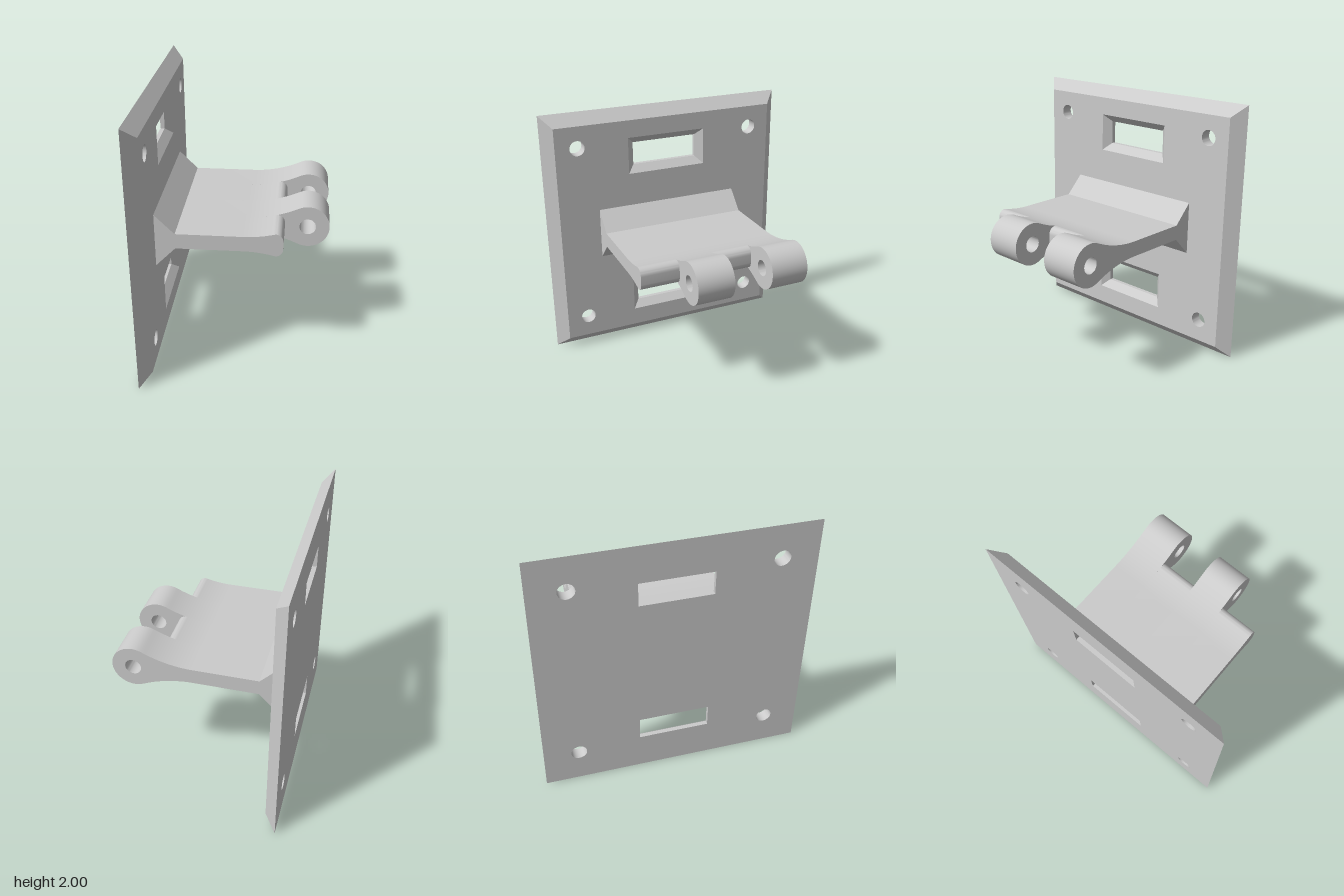
import * as THREE from 'three';
import { mergeGeometries, toCreasedNormals } from 'three/addons/utils/BufferGeometryUtils.js';

const material = new THREE.MeshStandardMaterial({ color: 0xcccccc });
const MID = 1.003; // height of the arm's centre line

// Counter-clockwise outlines
const rect = (cx, cy, w, h) => [[-w, -h], [w, -h], [w, h], [-w, h]]
  .map(([x, y]) => new THREE.Vector2(cx + x, cy + y));
const circle = (cx, cy, r, n = 40) => Array.from({ length: n }, (_, i) => {
  const a = (i / n) * Math.PI * 2;
  return new THREE.Vector2(cx + r * Math.cos(a), cy + r * Math.sin(a));
});

// Wall between two matching outlines at depths za and zb
function wall(a, za, b, zb, inward = false) {
  const pos = [];
  for (let i = 0; i < a.length; i++) {
    const j = (i + 1) % a.length;
    const p = [a[i].x, a[i].y, za], q = [a[j].x, a[j].y, za];
    const r = [b[j].x, b[j].y, zb], s = [b[i].x, b[i].y, zb];
    if (inward) pos.push(...p, ...r, ...q, ...p, ...s, ...r);
    else pos.push(...p, ...q, ...r, ...p, ...r, ...s);
  }
  const g = new THREE.BufferGeometry();
  g.setAttribute('position', new THREE.Float32BufferAttribute(pos, 3));
  return g;
}

// Flat face with openings
function face(outline, openings) {
  const shape = new THREE.Shape(outline);
  shape.holes = openings.map((o) => new THREE.Path(o));
  const g = new THREE.ShapeGeometry(shape).toNonIndexed();
  g.deleteAttribute('uv');
  g.deleteAttribute('normal');
  return g;
}

// Bevelled square plate with four screw holes and two flared windows
function plateGeometry() {
  const T = 0.09, straight = 0.033;
  const back = rect(0, 1, 1, 1), front = rect(0, 1, 0.91, 0.91);
  const screws = [];
  for (const x of [-0.735, 0.735]) for (const y of [0.267, 1.737]) screws.push(circle(x, y, 0.06));
  const small = [0.388, 1.622].map((y) => rect(0, y, 0.267, 0.091));
  const large = [0.388, 1.622].map((y) => rect(0, y, 0.324, 0.148));

  const parts = [
    face(back, [...screws, ...small]).rotateY(Math.PI),
    face(front, [...screws, ...large]).translate(0, 0, T),
    wall(back, 0, front, T),
    ...screws.map((c) => wall(c, 0, c, T, true)),
  ];
  small.forEach((s, i) => {
    parts.push(wall(s, 0, s, straight, true), wall(s, straight, large[i], T, true));
  });
  return toCreasedNormals(mergeGeometries(parts), 0.5).rotateY(Math.PI / 2).translate(-0.67, 0, 0);
}

// Arm profile: flared foot, thin web, then either a blunt end or a knuckle
function armShape(knuckle) {
  const t = 0.058, x0 = 0.05, R = 0.89;      // half thickness, flare start and flare radius
  const ex = 0.505, er = 0.161;              // knuckle centre and radius
  const top = [[-0.58, 0.205], [-0.435, t]]; // upper half, measured from the centre line
  const endX = knuckle ? ex - er * (ex - x0) / (R + er) : 0.28;
  for (let i = 0; i <= 16; i++) {
    const x = x0 + (endX - x0) * i / 16;
    top.push([x, t + R - Math.sqrt(R * R - (x - x0) ** 2)]);
  }
  const [lx, ly] = top[top.length - 1];
  if (knuckle) {
    const a0 = Math.atan2(ly, lx - ex);
    for (let i = 1; i <= 24; i++) {
      const a = a0 * (1 - i / 24);
      top.push([ex + er * Math.cos(a), er * Math.sin(a)]);
    }
  } else {
    const r = 0.056;
    for (let i = 1; i <= 10; i++) {
      const a = (Math.PI / 2) * (1 - i / 10);
      top.push([lx + r * Math.cos(a), ly - r + r * Math.sin(a)]);
    }
  }
  const lower = top.filter(([, y]) => y > 1e-6).map(([x, y]) => [x, -y]);
  const pts = [...lower, ...top.reverse()].map(([x, y]) => new THREE.Vector2(x, MID + y));
  const shape = new THREE.Shape(pts);
  if (knuckle) shape.holes.push(new THREE.Path(circle(ex, MID, 0.061)));
  return shape;
}

export function createModel() {
  const model = new THREE.Group();
  const add = (name, geometry) => {
    const mesh = new THREE.Mesh(geometry, material);
    mesh.name = name;
    model.add(mesh);
  };
  add('mountingPlate', plateGeometry());

  // Alternating knuckle and blunt sections across the width of the arm
  const sections = [
    ['rearKnuckleArm', -0.59, -0.3, true],
    ['middleWeb', -0.3, 0, false],
    ['frontKnuckleArm', 0, 0.285, true],
    ['frontWeb', 0.285, 0.585, false],
  ];
  for (const [name, z0, z1, knuckle] of sections) {
    const g = new THREE.ExtrudeGeometry(armShape(knuckle), { depth: z1 - z0, bevelEnabled: false });
    add(name, toCreasedNormals(g, 0.5).translate(0, 0, z0));
  }
  return model;
}
